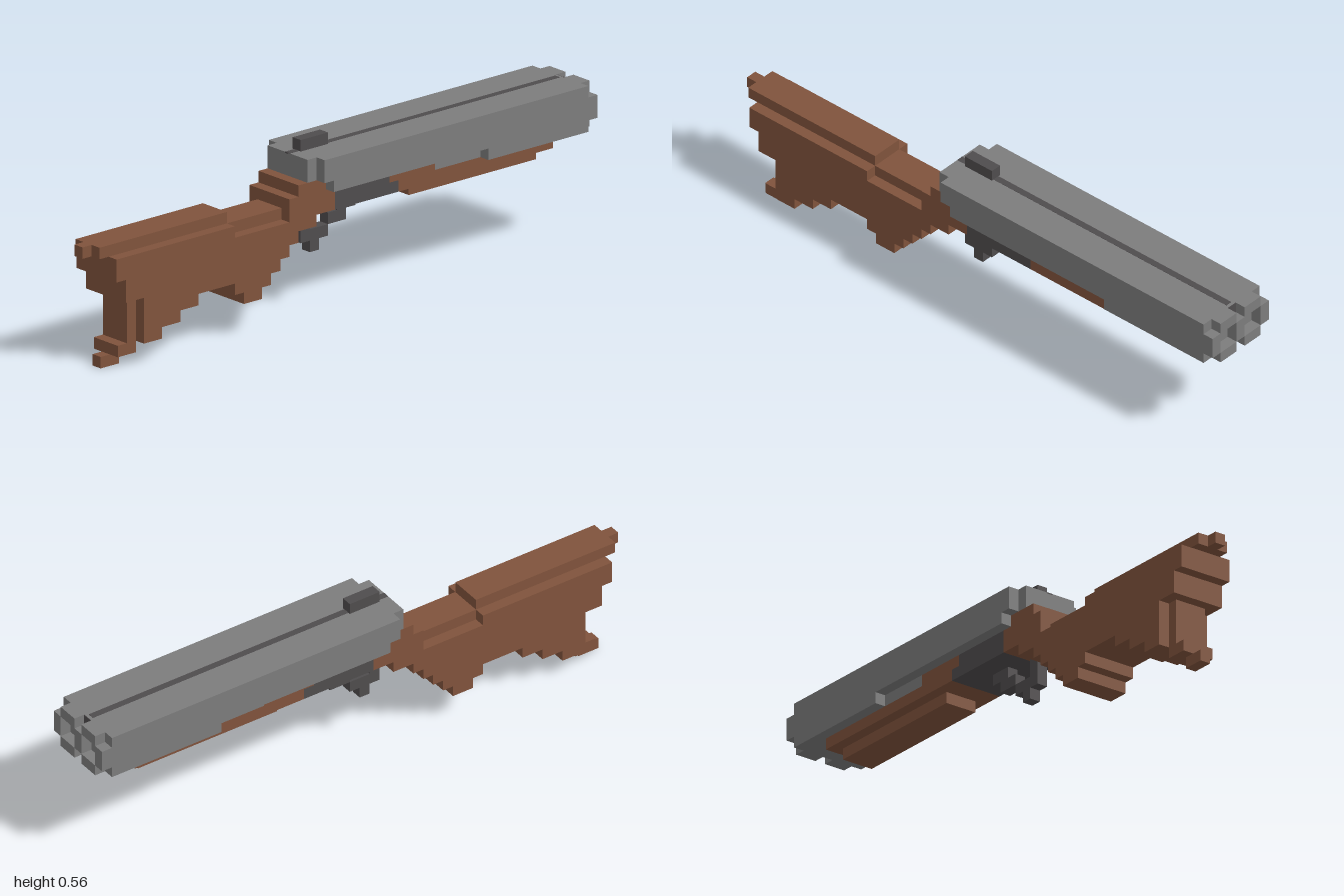
import * as THREE from 'three';

const U = 1 / 27; // edge of one block

const wood = new THREE.MeshStandardMaterial({ color: 0x80533c });
wood.name = 'brown wood';
const steel = new THREE.MeshStandardMaterial({ color: 0x7c7c7c });
steel.name = 'grey steel';
const iron = new THREE.MeshStandardMaterial({ color: 0x4f4c4d });
iron.name = 'dark iron';

// Box given by block limits in x and y, and half width and centre in z
function block(parent, name, material, x0, x1, y0, y1, half, zc = 0) {
  const mesh = new THREE.Mesh(
    new THREE.BoxGeometry((x1 - x0) * U, (y1 - y0) * U, 2 * half * U), material);
  mesh.position.set((x0 + x1) / 2 * U, (y0 + y1) / 2 * U, zc * U);
  mesh.name = name;
  parent.add(mesh);
  return mesh;
}

function part(parent, name) {
  const g = new THREE.Group();
  g.name = name;
  parent.add(g);
  return g;
}

function buildStock(root) {
  const stock = part(root, 'stock');

  // Stepped outline: start, then alternating runs along x and y
  const shape = new THREE.Shape();
  let x = -25, y = 10;
  const runs = [
    [0, -2], [1, -2], [2, -4],                      // butt end
    [2, 1], [2, 1], [2, 1], [4, -1], [1, -1],       // belly
    [2, 1], [1, 1], [1, 1], [1, 1], [1, 1], [2, 1], // grip
    [2, 2], [-1, 1], [-3, -1], [-1, -1],            // wrist hump
  ];
  shape.moveTo(x * U, y * U);
  for (const [dx, dy] of runs) {
    x += dx;
    shape.lineTo(x * U, y * U);
    y += dy;
    shape.lineTo(x * U, y * U);
  }
  shape.lineTo(-6 * U, 9 * U);
  shape.lineTo(-12 * U, 9 * U);
  shape.lineTo(-12 * U, 10 * U);
  shape.closePath();
  const geo = new THREE.ExtrudeGeometry(shape, { depth: 5 * U, bevelEnabled: false });
  geo.translate(0, 0, -2.5 * U);
  const body = new THREE.Mesh(geo, wood);
  body.name = 'stockBody';
  stock.add(body);

  // Narrow raised comb and pointed heel
  block(stock, 'wristRidge', wood, -12, -6, 9, 10, 1.5);
  block(stock, 'comb', wood, -26, -12, 10, 11, 1.5);
  block(stock, 'heel', wood, -27, -26, 10, 11, 0.5);
  // Butt spine and tapering toe
  block(stock, 'buttSpine', wood, -23, -22, 2, 6, 1.5);
  block(stock, 'toe', wood, -24, -22, 1, 2, 1.5);
  block(stock, 'toeTip', wood, -25, -23, 0, 1, 0.5);
}

function buildBarrels(root) {
  const barrels = part(root, 'barrels');
  block(barrels, 'barrelUpper', steel, -3, 26, 12, 14, 3.5);
  block(barrels, 'barrelLower', steel, -2, 26, 11, 12, 3.5);
  block(barrels, 'barrelUnderside', steel, 15, 26, 10, 11, 3.5);
  block(barrels, 'barrelBedFront', steel, 10, 15, 10, 11, 2.5);
  block(barrels, 'breechEnd', steel, -4, -3, 12, 14, 2.5);

  // Muzzle rims around the two bores
  block(barrels, 'muzzleDivider', steel, 26, 27, 11, 13, 0.5);
  for (const s of [-1, 1]) {
    block(barrels, 'muzzleSide', steel, 26, 27, 11, 13, 0.5, 3 * s);
    block(barrels, 'muzzleTop', steel, 26, 27, 13, 14, 1, 1.5 * s);
    block(barrels, 'muzzleBottom', steel, 26, 27, 10, 11, 1, 1.5 * s);
  }

  // Dark rib between the barrels and rear sight
  block(barrels, 'rib', iron, -4, 25.7, 13.9, 14.02, 0.3);
  block(barrels, 'ribEnd', iron, 25.9, 26.05, 13, 14, 0.5);
  block(barrels, 'rearSight', iron, -3, 0, 14, 15, 0.5);
}

function buildForegrip(root) {
  const grip = part(root, 'foregrip');
  block(grip, 'foregripBed', wood, 5, 10, 10, 11, 2.5);
  block(grip, 'foregripUpper', wood, 6, 23, 9, 10, 2.5);
  block(grip, 'foregripLower', wood, 8, 22, 8, 9, 1.5);
}

function buildAction(root) {
  const action = part(root, 'action');
  block(action, 'receiver', iron, -1, 5, 10, 11, 2.5);
  block(action, 'receiverPlate', iron, -1, 6, 9, 10, 2.5);
  // Trigger guard made of stepped blocks
  const guard = [
    [-3, -2, 7, 9], [-3, 0, 6, 7], [-2, -1, 5, 6], [0, 2, 7, 8], [1, 3, 8, 9],
  ];
  for (const g of guard) block(action, 'triggerGuard', iron, ...g, 0.5);
}

export function createModel() {
  const root = new THREE.Group();
  root.name = 'doubleBarrelGun';
  buildStock(root);
  buildBarrels(root);
  buildForegrip(root);
  buildAction(root);
  return root;
}
